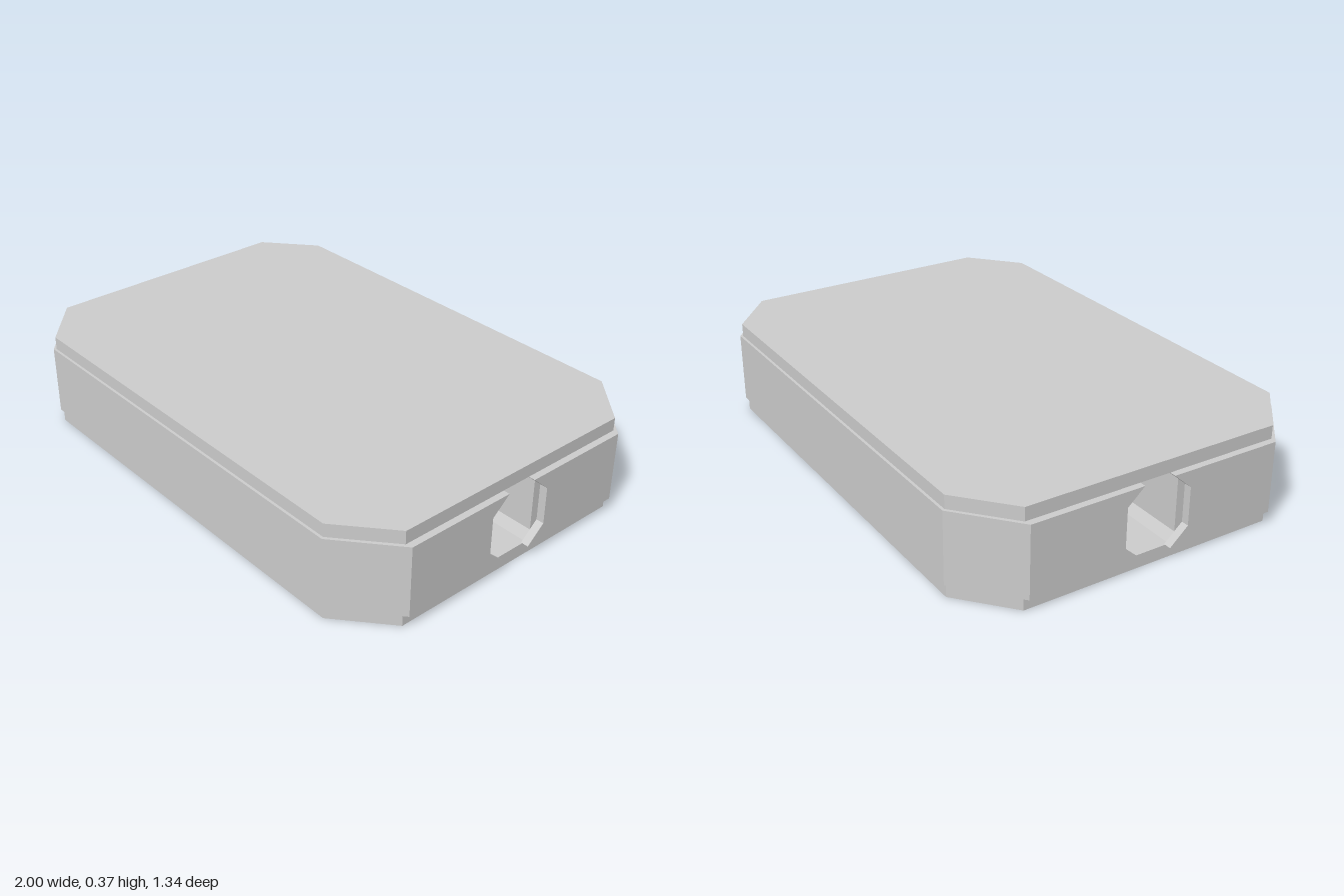
import * as THREE from 'three';

const material = new THREE.MeshStandardMaterial({ color: 0xcccccc, flatShading: true });
const Y0 = 0.05, Y1 = 0.32, TOP = 0.37;

function extrude(points, depth) {
  const shape = new THREE.Shape(points.map(([x, y]) => new THREE.Vector2(x, y)));
  return new THREE.ExtrudeGeometry(shape, { depth, bevelEnabled: false });
}

// Plan outline (x, z) raised from y0 to y1
const raise = (points, y0, y1) =>
  extrude(points, y1 - y0).rotateX(-Math.PI / 2).translate(0, y0, 0);

// Section (z, y) run along x from x0 to x1
const run = (points, x0, x1) =>
  extrude(points.map(([z, y]) => [-z, y]), x1 - x0).rotateY(Math.PI / 2).translate(x0, 0, 0);

export function createModel() {
  const group = new THREE.Group();
  const add = (name, geometry) => {
    const mesh = new THREE.Mesh(geometry, material);
    mesh.name = name;
    group.add(mesh);
  };

  // Top and bottom plates with clipped corners, slightly inset
  const plate = [
    [0.975, 0.495], [0.785, 0.66], [-0.785, 0.66], [-0.975, 0.495],
    [-0.975, -0.495], [-0.785, -0.66], [0.785, -0.66], [0.975, -0.495],
  ];
  add('bottomPlate', raise(plate, 0, Y0));
  add('topPlate', raise(plate, Y1, TOP));

  for (const s of [1, -1]) {
    const side = s > 0 ? 'front' : 'back';

    // Outer part of the body with chamfered corners
    const flank = [[1, 0.49], [0.79, 0.67], [-0.79, 0.67], [-1, 0.49]];
    add(side + 'Flank', raise(flank.map(([x, z]) => [x, -s * z]), Y0, Y1));

    // Inner body beside the narrow through tunnel
    const core = [[0.49, Y0], [0.49, Y1], [0.06, Y1], [0.1, 0.285], [0.1, 0.085], [0.075, Y0]];
    add(side + 'Core', run(core.map(([z, y]) => [s * z, y]), -0.97, 0.97));

    // Thin end walls around the wider octagonal mouth of the tunnel
    const wall = [[0.49, Y0], [0.49, Y1], [0.06, Y1], [0.13, 0.257], [0.13, 0.113], [0.06, Y0]];
    for (const end of [1, -1]) {
      const x0 = end > 0 ? 0.97 : -1;
      add(side + (end > 0 ? 'Left' : 'Right') + 'EndWall',
        run(wall.map(([z, y]) => [s * z, y]), x0, x0 + 0.03));
    }
  }
  return group;
}
